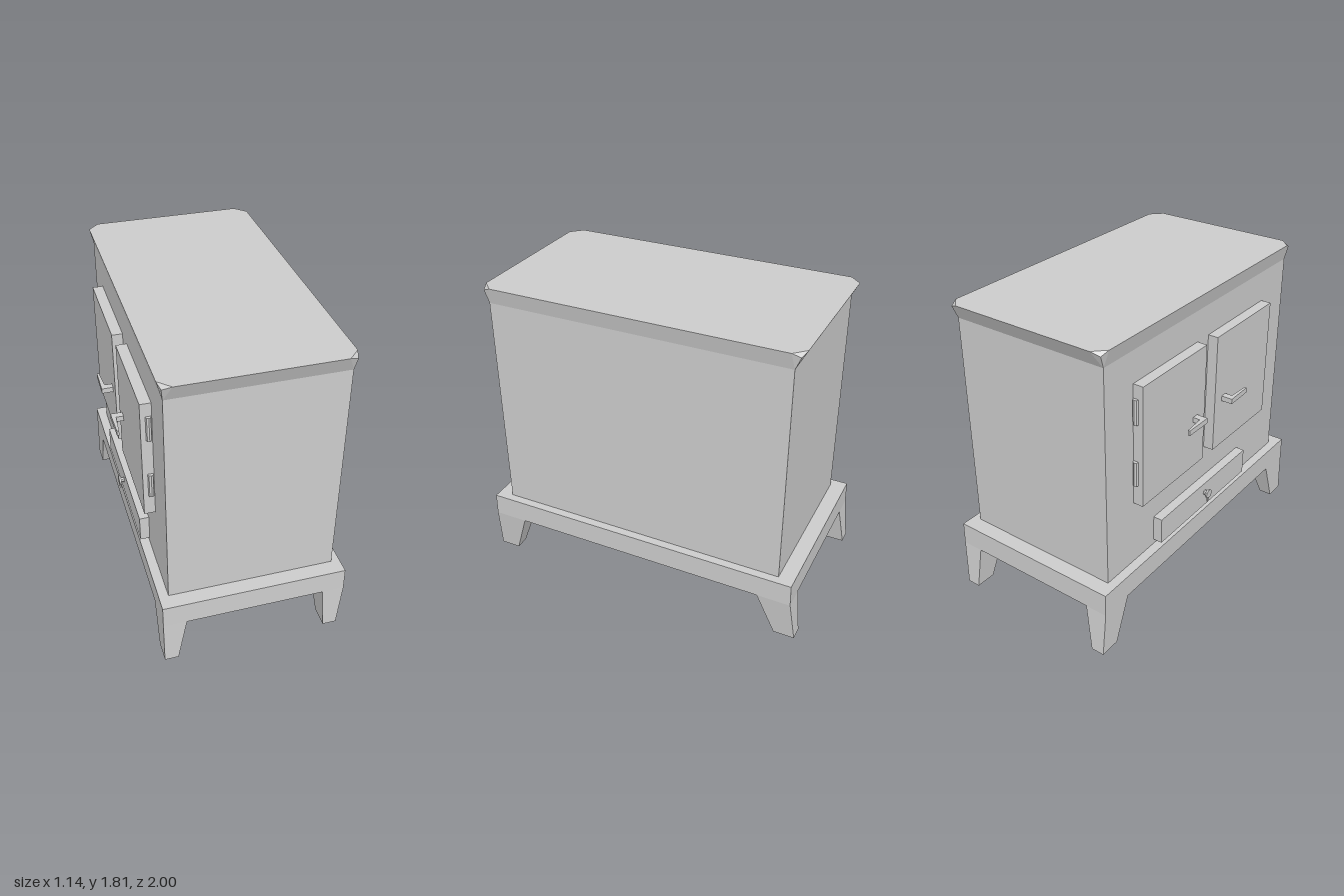
import * as THREE from 'three';

const material = new THREE.MeshStandardMaterial({ color: 0xcccccc, flatShading: true });

function add(group, name, geometry, x = 0, y = 0, z = 0) {
  const mesh = new THREE.Mesh(geometry, material);
  mesh.name = name;
  mesh.position.set(x, y, z);
  group.add(mesh);
  return mesh;
}

// Six-sided solid between two horizontal rectangles [x0, x1, z0, z1]
function loft(bottom, y0, top, y1) {
  const geometry = new THREE.BoxGeometry(1, 1, 1);
  const p = geometry.attributes.position;
  for (let i = 0; i < p.count; i++) {
    const r = p.getY(i) > 0 ? top : bottom;
    p.setXYZ(i, p.getX(i) > 0 ? r[1] : r[0], p.getY(i) > 0 ? y1 : y0, p.getZ(i) > 0 ? r[3] : r[2]);
  }
  geometry.computeVertexNormals();
  return geometry;
}

const block = (x0, x1, y0, y1, z0, z1) => loft([x0, x1, z0, z1], y0, [x0, x1, z0, z1], y1);

// Flared top plate: square at the body, clipped corners at the top
function topPlate() {
  const corners = [[1, 1], [1, -1], [-1, -1], [-1, 1]].map(([sx, sz]) => {
    const at = (hx, y, hz) => [0.036 + sx * hx, y, 0.006 + sz * hz];
    const onZ = at(0.44, 1.81, 0.93), onX = at(0.505, 1.81, 0.865);
    return {
      p: sx * sz > 0 ? onZ : onX,
      q: sx * sz > 0 ? onX : onZ,
      tip: at(0.491, 1.79, 0.912),
      foot: [0.0375 + sx * 0.4825, 1.715, 0.01 + sz * 0.885],
    };
  });
  const verts = [];
  const tri = (...pts) => pts.forEach((v) => verts.push(...v));
  const centre = [0.036, 1.81, 0.006];
  corners.forEach((c, i) => {
    const n = corners[(i + 1) % 4];
    tri(centre, c.p, c.q);
    tri(centre, c.q, n.p);
    tri(c.p, c.tip, c.q);
    tri(c.p, c.foot, c.tip);
    tri(c.tip, c.foot, c.q);
    tri(c.q, c.foot, n.foot);
    tri(c.q, n.foot, n.p);
  });
  const geometry = new THREE.BufferGeometry();
  geometry.setAttribute('position', new THREE.Float32BufferAttribute(verts, 3));
  geometry.computeVertexNormals();
  return geometry;
}

// L-shaped door lever, tapering away from its post
function lever(side) {
  const outline = [[-0.5, 0.13], [-0.575, 0.13], [-0.572, 0.3], [-0.559, 0.3], [-0.55, 0.17], [-0.5, 0.17]];
  const shape = new THREE.Shape(outline.map(([x, z]) => new THREE.Vector2(x, z * side)));
  return new THREE.ExtrudeGeometry(shape, { depth: 0.032, bevelEnabled: false }).rotateX(Math.PI / 2);
}

export function createModel() {
  const stove = new THREE.Group();
  stove.name = 'stove';

  add(stove, 'body', block(-0.445, 0.52, 0.39, 1.715, -0.875, 0.895));
  add(stove, 'topPlate', topPlate());
  add(stove, 'base', loft([-0.5, 0.57, -0.97, 0.988], 0.265, [-0.5, 0.57, -0.967, 0.985], 0.4));

  // Four splayed legs
  const legX = [{ foot: [-0.5, -0.42], top: [-0.5, -0.365] }, { foot: [0.46, 0.54], top: [0.44, 0.57] }];
  const legZ = [{ foot: [-1, -0.875], top: [-0.97, -0.77] }, { foot: [0.88, 1], top: [0.785, 0.988] }];
  for (const lx of legX) {
    for (const lz of legZ) {
      add(stove, 'leg', loft([...lx.foot, ...lz.foot], 0, [...lx.top, ...lz.top], 0.265));
    }
  }

  // Pair of doors with hinges and levers
  for (const side of [-1, 1]) {
    const door = new THREE.Group();
    door.name = side < 0 ? 'backDoor' : 'frontDoor';
    const edges = [0.055 * side, 0.642 * side].sort((a, b) => a - b);
    add(door, 'doorPanel', block(-0.507, -0.44, 0.8, 1.53, ...edges));
    for (const y of [1.0, 1.375]) {
      add(door, 'hinge', new THREE.CylinderGeometry(0.016, 0.016, 0.148, 8), -0.464, y, 0.645 * side);
    }
    add(door, 'doorHandle', lever(side), 0, 1.13, 0);
    stove.add(door);
  }

  // Ash drawer with a round knob and a hanging tab
  add(stove, 'ashDrawer', block(-0.5, -0.44, 0.43, 0.59, -0.45, 0.45));
  const stem = new THREE.CylinderGeometry(0.016, 0.016, 0.03, 8).rotateZ(Math.PI / 2);
  add(stove, 'knobStem', stem, -0.51, 0.525, 0);
  const knob = new THREE.CylinderGeometry(0.028, 0.028, 0.012, 10).rotateZ(Math.PI / 2);
  add(stove, 'knob', knob, -0.526, 0.525, 0);
  add(stove, 'knobTab', block(-0.528, -0.52, 0.472, 0.51, -0.01, 0.01));

  return stove;
}
